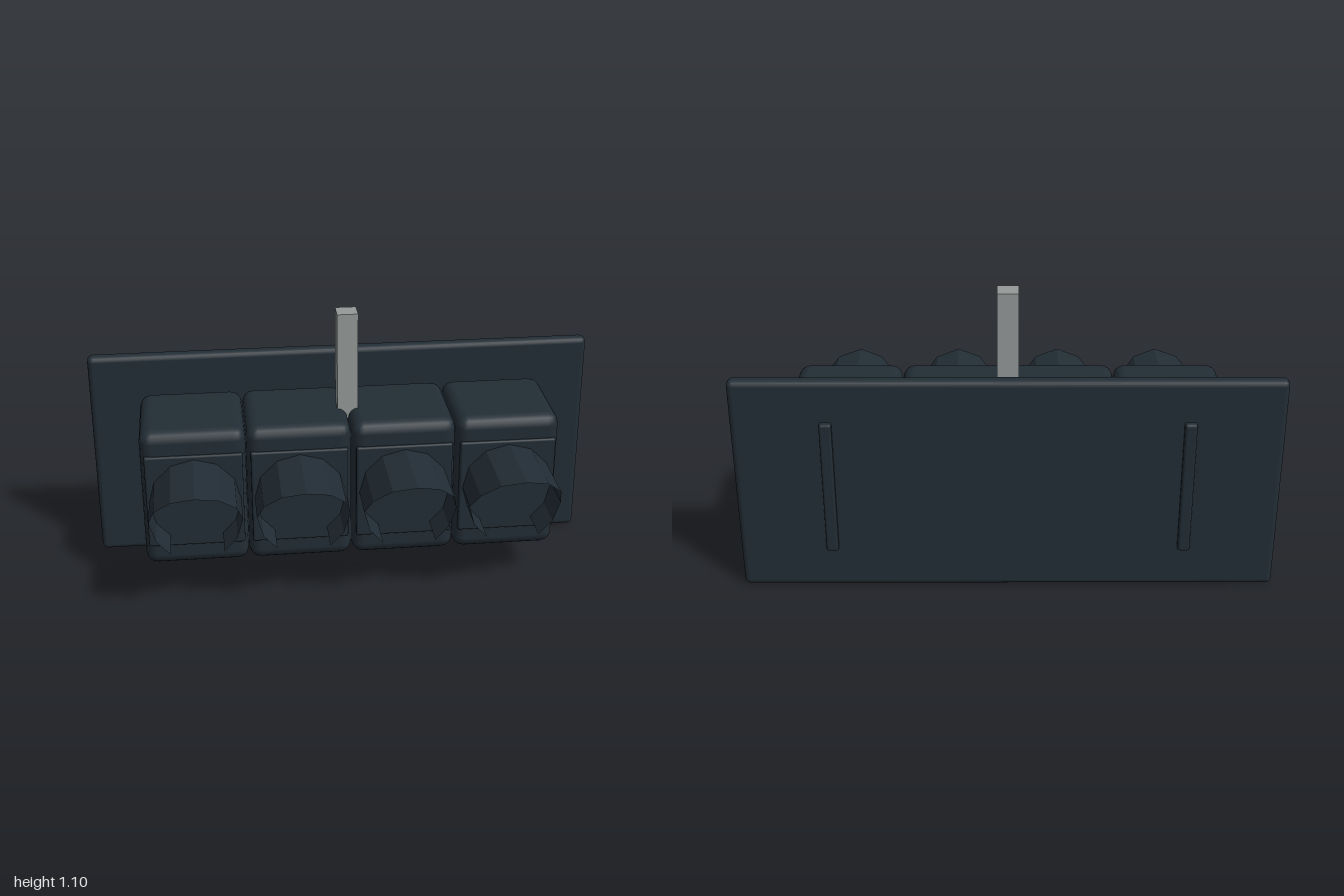
import * as THREE from 'three';
import { RoundedBoxGeometry } from 'three/addons/geometries/RoundedBoxGeometry.js';

// Cut-away visor: a 12-sided open tube whose front edge varies with angle
function visorGeometry(radius, backZ) {
  // [degrees from the top, front z]
  const half = [[0, 0.415], [30, 0.39], [60, 0.335], [90, 0.255], [120, 0.24], [145, 0.24]];
  const rim = [...half.slice(1).reverse().map(([a, z]) => [-a, z]), ...half];
  const pos = [];
  const at = ([a, z], front) => {
    const t = THREE.MathUtils.degToRad(a);
    return [Math.sin(t) * radius, Math.cos(t) * radius, front ? z : backZ];
  };
  for (let i = 0; i < rim.length - 1; i++) {
    const a = at(rim[i], false), b = at(rim[i], true);
    const c = at(rim[i + 1], true), d = at(rim[i + 1], false);
    pos.push(...a, ...b, ...c, ...a, ...c, ...d);
  }
  const g = new THREE.BufferGeometry();
  g.setAttribute('position', new THREE.Float32BufferAttribute(pos, 3));
  g.computeVertexNormals();
  return g;
}

export function createModel() {
  const model = new THREE.Group();
  model.name = 'trafficSignal';

  const dark = new THREE.MeshStandardMaterial({ color: 0x222d35 });
  dark.name = 'dark housing';
  dark.side = THREE.DoubleSide;
  const steel = new THREE.MeshStandardMaterial({ color: 0x949a99 });
  steel.name = 'grey steel';

  const add = (parent, name, geometry, material, x, y, z) => {
    const mesh = new THREE.Mesh(geometry, material);
    mesh.name = name;
    mesh.position.set(x, y, z);
    parent.add(mesh);
  };

  // Backing board with two mounting strips behind it
  add(model, 'backplate', new RoundedBoxGeometry(2, 0.86, 0.058, 2, 0.022), dark, 0, 0.43, -0.363);
  const strip = new RoundedBoxGeometry(0.045, 0.535, 0.04, 2, 0.01);
  for (const x of [-0.655, 0.655]) add(model, 'mountingStrip', strip, dark, x, 0.4325, -0.395);

  // Four identical signal sections side by side
  const body = new RoundedBoxGeometry(0.4, 0.563, 0.402, 2, 0.045);
  const door = new RoundedBoxGeometry(0.37, 0.38, 0.03, 2, 0.008);
  const visor = visorGeometry(0.175, 0.094);
  for (const x of [-0.602, -0.201, 0.201, 0.602]) {
    const section = new THREE.Group();
    section.name = 'signalSection';
    section.position.x = x;
    add(section, 'housing', body, dark, 0, 0.4325, -0.121);
    add(section, 'door', door, dark, 0, 0.432, 0.075);
    add(section, 'visor', visor, dark, 0, 0.434, 0);
    model.add(section);
  }

  // Square hanging post
  add(model, 'post', new THREE.BoxGeometry(0.08, 0.43, 0.08), steel, 0, 0.883, -0.121);

  return model;
}
